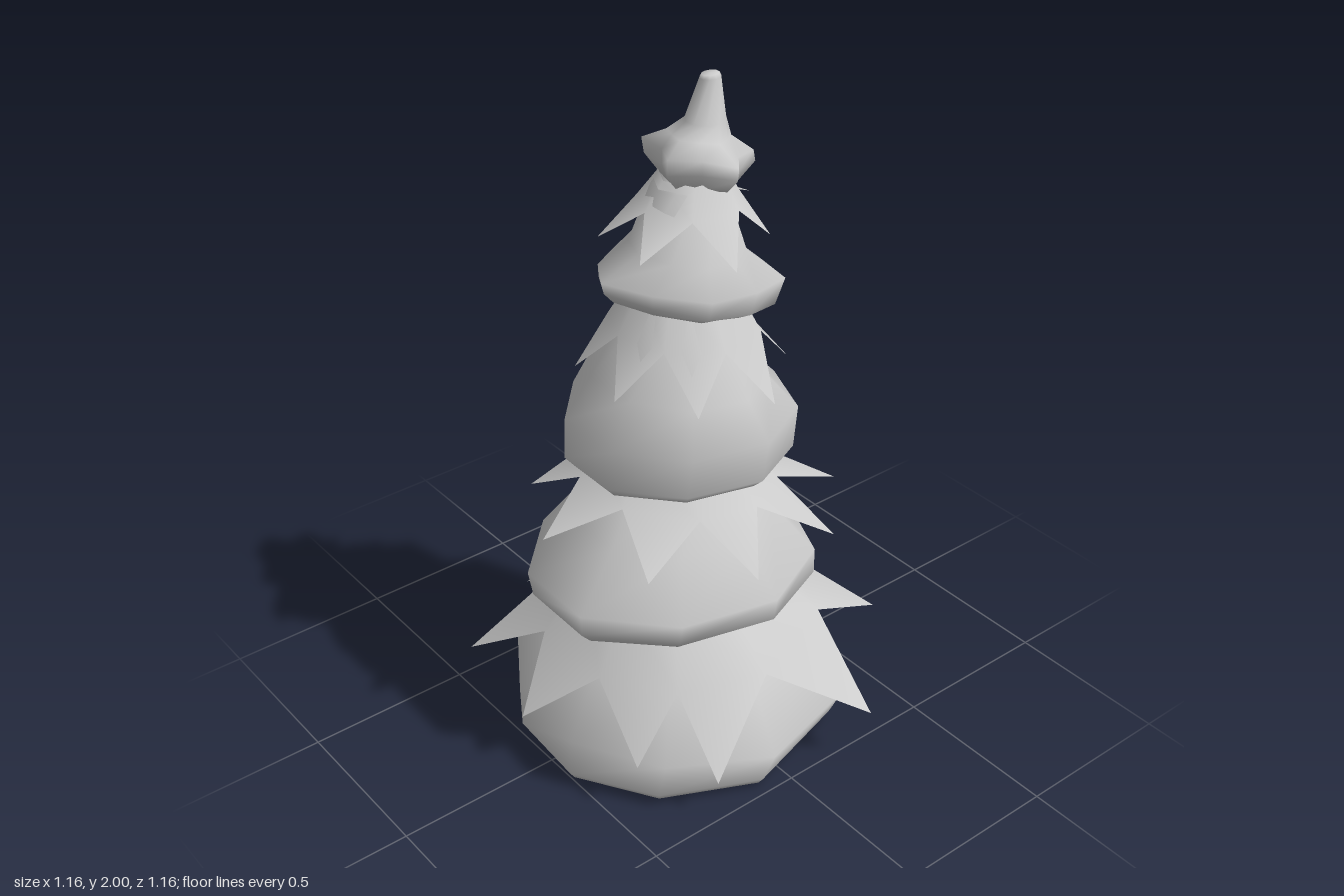
import * as THREE from 'three';

const material = new THREE.MeshStandardMaterial({ color: 0xcccccc, side: THREE.DoubleSide });

function makeMesh(name, points, index) {
  const geometry = new THREE.BufferGeometry();
  geometry.setAttribute('position', new THREE.Float32BufferAttribute(points, 3));
  geometry.setIndex(index);
  geometry.computeVertexNormals();
  const mesh = new THREE.Mesh(geometry, material);
  mesh.name = name;
  return mesh;
}

// Evenly spaced corner angles in degrees
const even = (sides, start = 0) => Array.from({ length: sides }, (_, i) => start + (i * 360) / sides);

// Closed loft through rings listed bottom to top: [y, xMin, xMax, zMin, zMax, tilt, lobe].
// tilt raises the +x side, lobe pulls every second corner inwards.
function loft(name, angles, rings) {
  const points = [], index = [], sides = angles.length;
  for (const [y, x0, x1, z0, z1, tilt = 0, lobe = 0] of rings) {
    angles.forEach((degrees, i) => {
      const a = THREE.MathUtils.degToRad(degrees);
      const k = i % 2 ? 1 - lobe : 1.01;
      const c = Math.cos(a) * k, s = Math.sin(a) * k;
      points.push((x0 + x1) / 2 + c * (x1 - x0) / 2, Math.max(0, y + tilt * c), (z0 + z1) / 2 + s * (z1 - z0) / 2);
    });
  }
  const last = (rings.length - 1) * sides, bottom = rings.length * sides;
  for (const r of [rings[0], rings.at(-1)]) points.push((r[1] + r[2]) / 2, r[0], (r[3] + r[4]) / 2);
  for (let i = 0; i < sides; i++) {
    const j = (i + 1) % sides;
    for (let r = 0; r < last; r += sides) {
      index.push(r + i, r + sides + i, r + j, r + j, r + sides + i, r + sides + j);
    }
    index.push(bottom, i, j, bottom + 1, last + j, last + i);
  }
  return makeMesh(name, points, index);
}

// Open needle skirt: a cone collar with one long triangle per tip [x, y, z].
// top and rim are [y, radius, centreX, tilt]; tips run by rising angle from +x towards +z.
function skirt(name, top, rim, tips) {
  const n = tips.length, points = [], index = [];
  const angles = tips.map(([x, , z]) => Math.atan2(z, x - rim[2]));
  tips.forEach((tip, i) => {
    let previous = angles[(i + n - 1) % n];
    while (previous > angles[i]) previous -= Math.PI * 2;
    const a = (previous + angles[i]) / 2;
    for (const [y, r, cx, tilt] of [top, rim]) points.push(cx + r * Math.cos(a), y + tilt * Math.cos(a), r * Math.sin(a));
    points.push(...tip);
    const v = i * 3, w = ((i + 1) % n) * 3;
    index.push(v, w, v + 1, w, w + 1, v + 1, v + 1, w + 1, v + 2);
  });
  return makeMesh(name, points, index);
}

export function createModel() {
  const tree = new THREE.Group();
  tree.name = 'tieredTree';

  // Rounded, slightly tilted tiers
  tree.add(
    loft('bottomTier', [0, 51, 96, 133, 166, 199, 229, 272, 316], [
      [0.012, -0.51, 0.42, -0.45, 0.46, -0.008],
      [0.04, -0.53, 0.44, -0.46, 0.48, -0.01],
      [0.14, -0.53, 0.47, -0.485, 0.515, -0.04],
      [0.32, -0.42, 0.37, -0.38, 0.4, -0.03],
      [0.5, -0.24, 0.2, -0.22, 0.22],
    ]),
    loft('secondTier', even(9), [
      [0.46, -0.45, 0.37, -0.3, 0.32, -0.03],
      [0.49, -0.49, 0.41, -0.34, 0.36, -0.045],
      [0.58, -0.5, 0.39, -0.365, 0.39, -0.03],
      [0.74, -0.35, 0.24, -0.26, 0.28, -0.01],
      [0.92, -0.22, 0.18, -0.17, 0.17],
    ]),
    loft('thirdTier', even(9), [
      [0.89, -0.33, 0.3, -0.27, 0.26, -0.025],
      [0.92, -0.36, 0.33, -0.3, 0.29, -0.03],
      [1.05, -0.355, 0.33, -0.31, 0.31, -0.02],
      [1.18, -0.28, 0.205, -0.24, 0.27, -0.02],
      [1.42, -0.14, 0.13, -0.13, 0.13],
    ]),
    // Wavy tier, sloping down to the +x side
    loft('fourthTier', even(10, -36), [
      [1.37, -0.22, 0.23, -0.2, 0.16, -0.06, 0.06],
      [1.39, -0.25, 0.28, -0.24, 0.2, -0.075, 0.08],
      [1.45, -0.265, 0.31, -0.23, 0.21, -0.055, 0.08],
      [1.54, -0.155, 0.16, -0.16, 0.17, -0.02, 0.04],
      [1.72, -0.09, 0.11, -0.09, 0.09],
    ]),
    // Lobed cap drawn up into a bent peak
    loft('treetop', even(10, 18), [
      [1.715, -0.06, 0.17, -0.11, 0.11, -0.015, 0.18],
      [1.76, -0.1, 0.21, -0.15, 0.15, -0.02, 0.3],
      [1.8, -0.1, 0.2, -0.16, 0.16, -0.025, 0.32],
      [1.84, -0.04, 0.14, -0.085, 0.085, -0.015, 0.15],
      [1.88, 0.015, 0.128, -0.055, 0.055],
      [1.99, 0.055, 0.117, -0.025, 0.025],
      [2.0, 0.06, 0.112, -0.02, 0.02],
    ])
  );

  // Pointed needle skirts between the tiers
  tree.add(
    skirt('bottomNeedles', [0.51, 0.26, -0.03, 0], [0.355, 0.415, -0.02, 0], [
      [0.58, 0.19, 0.22], [0.23, 0.18, 0.58], [-0.27, 0.13, 0.49], [-0.44, 0.18, 0.34],
      [-0.58, 0.2, -0.02], [-0.52, 0.2, -0.38], [-0.18, 0.17, -0.58], [0.21, 0.18, -0.5], [0.47, 0.18, -0.25],
    ]),
    skirt('secondNeedles', [0.94, 0.2, -0.03, 0], [0.835, 0.285, -0.025, -0.03], [
      [0.45, 0.69, 0.15], [0.2, 0.74, 0.42], [-0.05, 0.68, 0.39], [-0.37, 0.77, 0.31],
      [-0.48, 0.78, -0.02], [-0.34, 0.77, -0.28], [-0.1, 0.67, -0.42], [0.16, 0.66, -0.4], [0.37, 0.66, -0.17],
    ]),
    skirt('thirdNeedles', [1.45, 0.13, 0, 0], [1.305, 0.21, 0, -0.02], [
      [0.3, 1.13, 0.1], [0.09, 1.14, 0.28], [-0.16, 1.18, 0.26], [-0.3, 1.2, 0.08],
      [-0.27, 1.2, -0.14], [-0.1, 1.15, -0.28], [0.08, 1.14, -0.28], [0.25, 1.13, -0.14],
    ]),
    skirt('topNeedles', [1.74, 0.095, 0.03, 0], [1.665, 0.145, 0.02, 0], [
      [0.19, 1.56, 0.13], [-0.01, 1.55, 0.23], [-0.24, 1.6, 0.12],
      [-0.19, 1.57, -0.13], [-0.04, 1.55, -0.23], [0.14, 1.57, -0.2], [0.27, 1.6, -0.05],
    ])
  );
  return tree;
}
